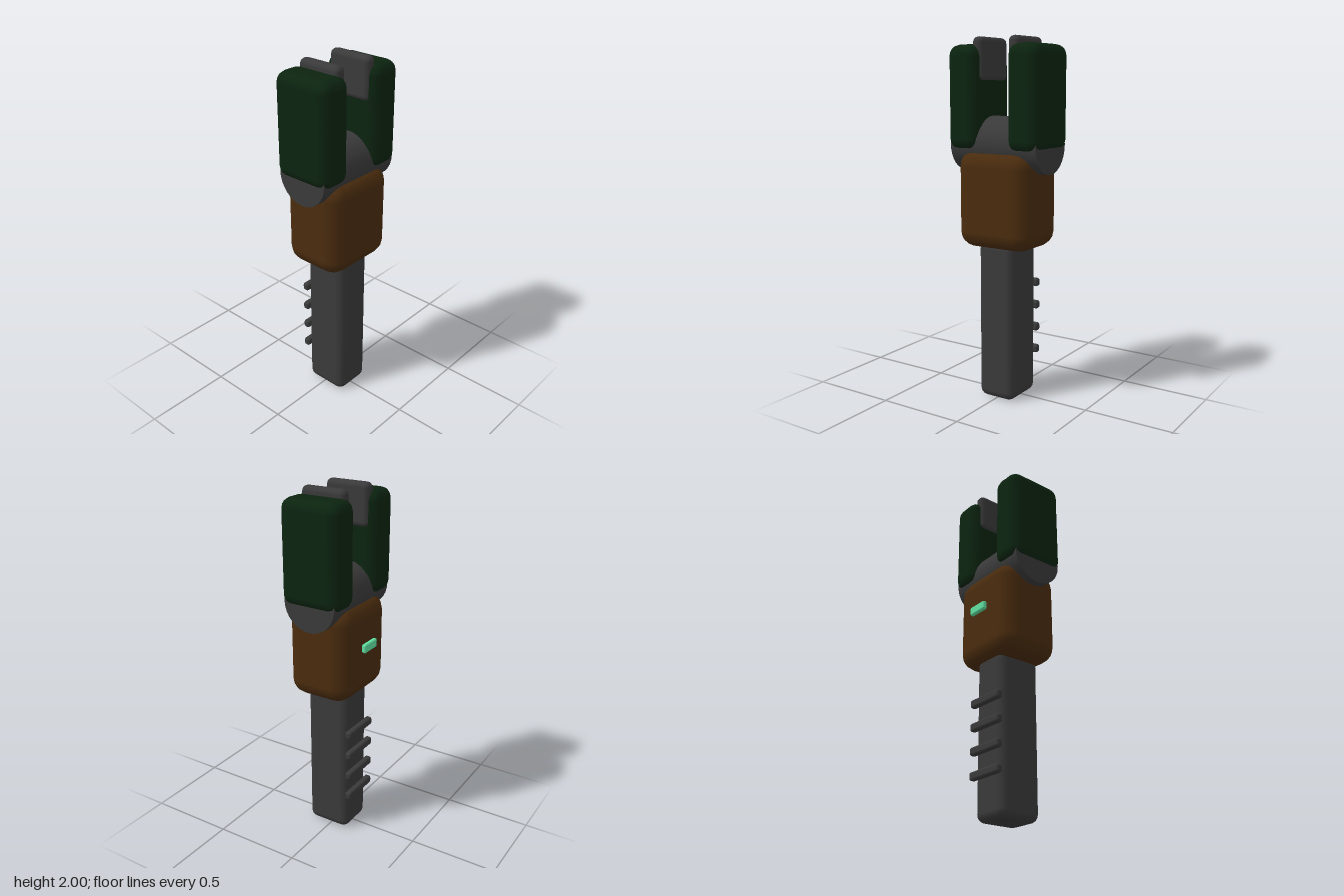
import * as THREE from 'three';
import { RoundedBoxGeometry } from 'three/addons/geometries/RoundedBoxGeometry.js';

const material = (name, color) => Object.assign(new THREE.MeshStandardMaterial({ color }), { name });

export function createModel() {
  const model = new THREE.Group();
  model.name = 'gripperTool';
  const grey = material('dark grey', 0x3a3a3a);
  const brown = material('brown', 0x4a2c0e);
  const green = material('dark green', 0x0c2410);
  const mint = material('mint', 0x5fdf9f);

  // Rounded block given by its lower and upper corners
  function block(name, mat, min, max, radius) {
    const size = max.map((v, i) => v - min[i]);
    const mesh = new THREE.Mesh(new RoundedBoxGeometry(...size, 2, radius), mat);
    mesh.position.set(...max.map((v, i) => (v + min[i]) / 2));
    mesh.name = name;
    model.add(mesh);
    return mesh;
  }

  // Handle and housing
  block('handle', grey, [-0.113, 0, -0.115], [0.113, 0.9, 0.145], 0.045);
  block('housing', brown, [-0.228, 0.86, -0.172], [0.228, 1.4, 0.2], 0.092);

  // Grip ribs across the back of the handle
  for (let i = 0; i < 4; i++) {
    const y = 0.24 + i * 0.132;
    block('gripRib', grey, [-0.12, y - 0.023, -0.147], [0.12, y + 0.023, -0.109], 0.013);
  }

  // Indicator on the back of the housing
  block('indicator', mint, [-0.064, 1.13, -0.202], [0.062, 1.18, -0.176], 0.01);

  // Cross hinge
  const hinge = new THREE.Mesh(new THREE.CylinderGeometry(0.153, 0.153, 0.544, 32), grey);
  hinge.rotation.z = Math.PI / 2;
  hinge.position.set(0, 1.427, 0.013);
  hinge.name = 'hinge';
  model.add(hinge);

  // Paired jaws with inner pads
  for (const [side, s] of [['left', 1], ['right', -1]]) {
    block(side + 'Jaw', green, [0.093, 1.395, -0.163], [0.287, 1.96, 0.188], 0.06).position.x *= s;
    block(side + 'JawPad', grey, [0.081, 1.765, -0.118], [0.147, 2, 0.143], 0.029).position.x *= s;
  }
  return model;
}
